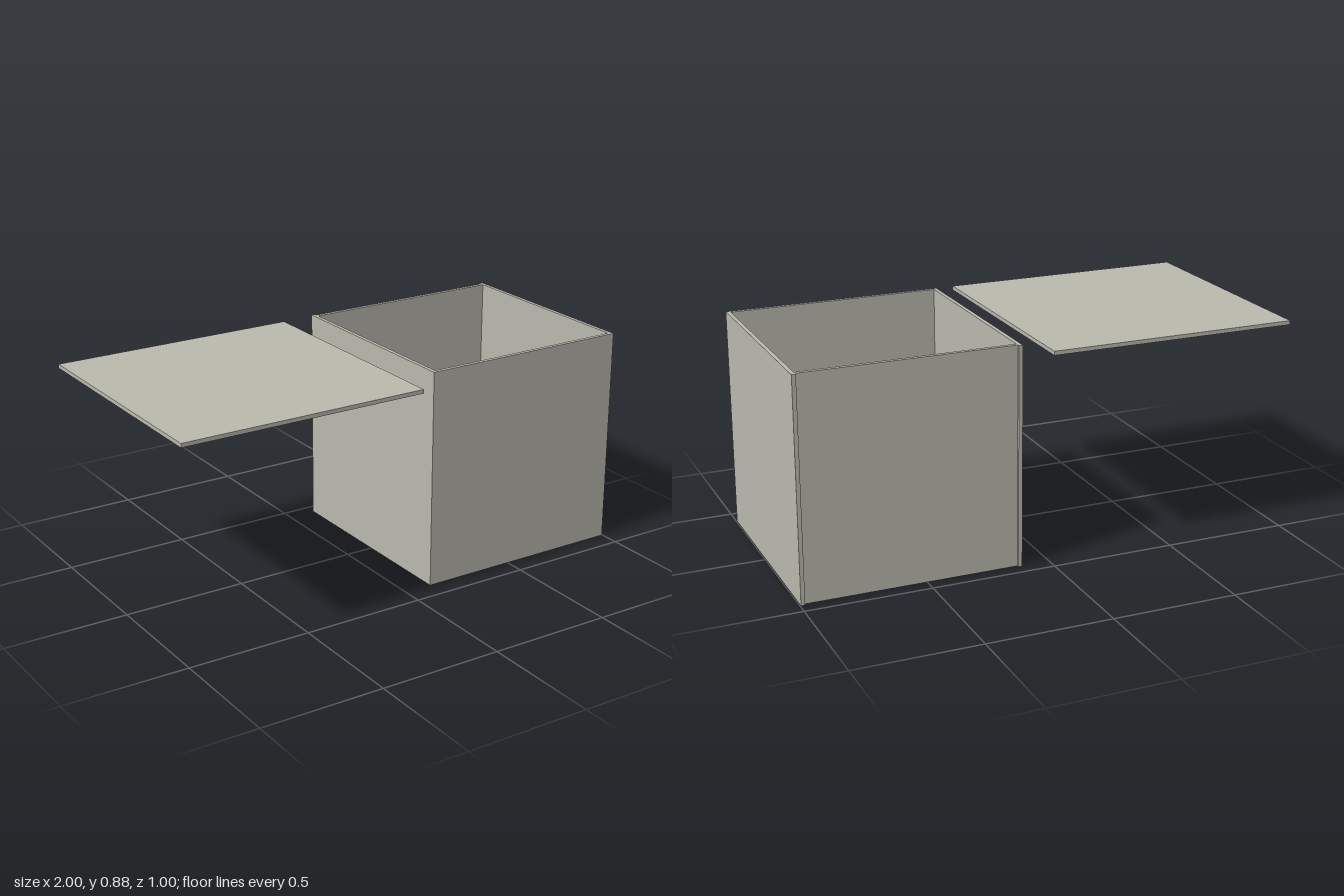
import * as THREE from 'three';

export function createModel() {
  const group = new THREE.Group();
  const grey = new THREE.MeshStandardMaterial({ color: 0xbab9ae });
  grey.name = 'warm grey board';
  const brown = new THREE.MeshStandardMaterial({ color: 0xb0886b });
  brown.name = 'brown board';

  // Flat board given by its minimum and maximum corners
  function board(name, material, [x0, y0, z0], [x1, y1, z1]) {
    const mesh = new THREE.Mesh(new THREE.BoxGeometry(x1 - x0, y1 - y0, z1 - z0), material);
    mesh.position.set((x0 + x1) / 2, (y0 + y1) / 2, (z0 + z1) / 2);
    mesh.name = name;
    group.add(mesh);
  }

  const left = 0.115, right = 0.997, height = 0.885, t = 0.016;
  const front = 0.418, back = -0.452;

  // Side walls run past the recessed back wall
  board('rightWall', grey, [left, 0, back], [left + t, height, front - t]);
  board('leftWall', grey, [right - t, 0, back], [right, height, front - t]);
  board('frontWall', grey, [left, 0, front - t], [right, height, front]);
  board('backWall', grey, [left + t, 0, -0.442], [right - t, height, -0.426]);

  // Shelf halfway up; the box is open below it
  board('shelf', brown, [left + t, 0.43, -0.426], [right - t, 0.445, front - t]);

  // Lid laid beside the box, level with its rim
  board('lid', grey, [-1, 0.846, -0.5], [0.01, 0.862, 0.5]);

  return group;
}
